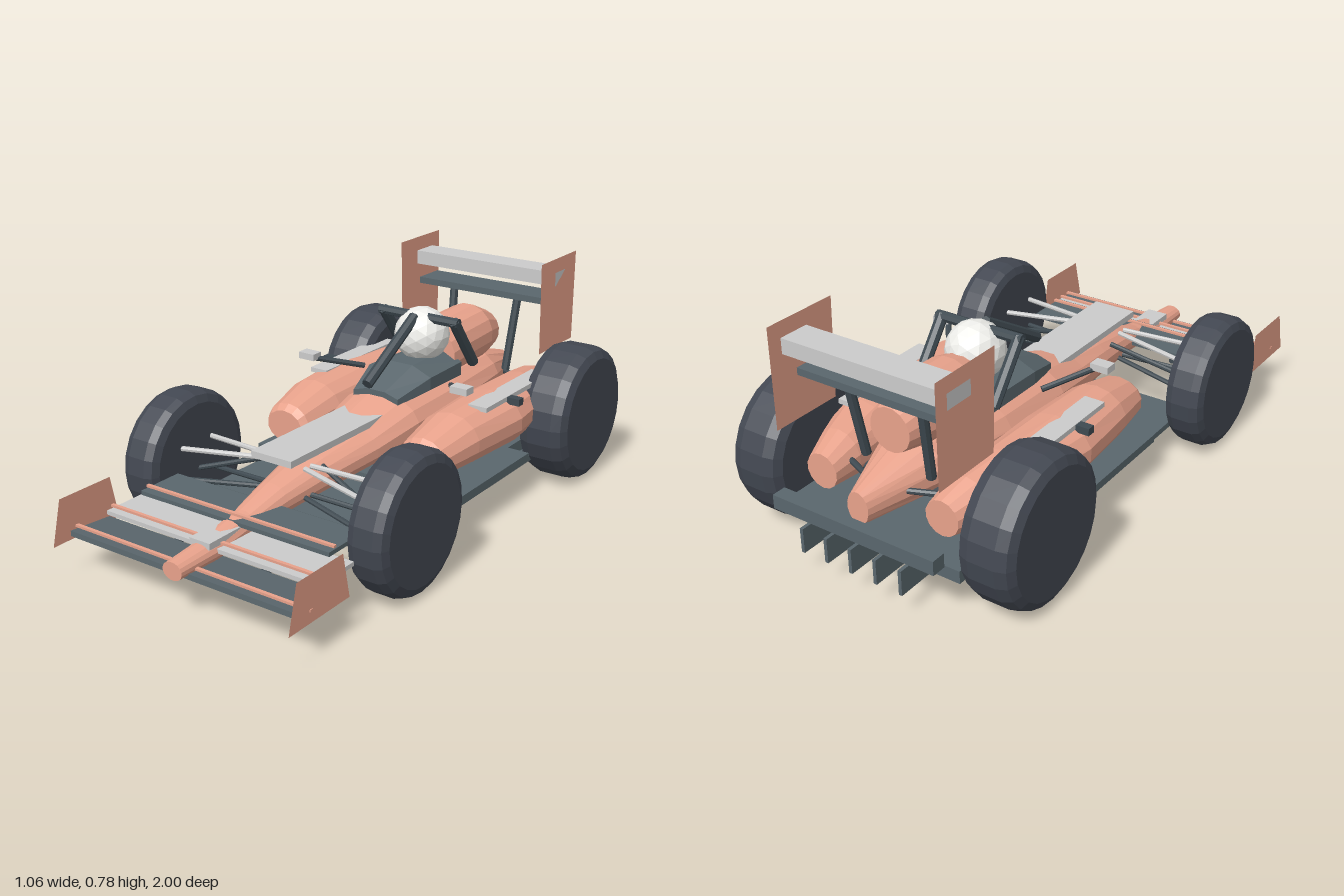
import * as THREE from 'three';

const mat = (color, side = THREE.FrontSide) =>
  new THREE.MeshStandardMaterial({ color, flatShading: true, side });

export function createModel() {
  const car = new THREE.Group();
  const paint = mat(0xe8a28b), paintSheet = mat(0xe8a28b, THREE.DoubleSide);
  const dark = mat(0x5a676d), carbon = mat(0x3f4a51), rubber = mat(0x434852);
  const grey = mat(0xcccccc), white = mat(0xeeeeea);

  const add = (name, geometry, material) => {
    const mesh = new THREE.Mesh(geometry, material);
    mesh.name = name;
    car.add(mesh);
    return mesh;
  };

  // Box given by its limits on each axis
  const box = (name, [x0, x1], [y0, y1], [z0, z1], material) => {
    const m = add(name, new THREE.BoxGeometry(Math.abs(x1 - x0), y1 - y0, z1 - z0), material);
    m.position.set((x0 + x1) / 2, (y0 + y1) / 2, (z0 + z1) / 2);
    return m;
  };

  // Round bar between two points
  const rod = (name, a, b, r, material, sides = 8) => {
    const p = new THREE.Vector3(...a), q = new THREE.Vector3(...b);
    const m = add(name, new THREE.CylinderGeometry(r, r, p.distanceTo(q), sides), material);
    m.position.copy(p).add(q).multiplyScalar(0.5);
    m.quaternion.setFromUnitVectors(new THREE.Vector3(0, 1, 0), q.sub(p).normalize());
    return m;
  };

  // Capped skin over elliptical sections [z, cx, cy, rx, ry], front to back
  const loft = (name, sections, sides, material) => {
    const pos = [], idx = [], n = sections.length;
    for (const [z, cx, cy, rx, ry] of sections)
      for (let j = 0; j < sides; j++) {
        const a = ((j + 0.5) / sides) * Math.PI * 2;
        pos.push(cx + rx * Math.cos(a), cy + ry * Math.sin(a), z);
      }
    for (const s of [0, n - 1]) pos.push(sections[s][1], sections[s][2], sections[s][0]);
    for (let j = 0; j < sides; j++) {
      const k = (j + 1) % sides, e = (n - 1) * sides;
      for (let i = 0; i < n - 1; i++) {
        const a = i * sides + j, b = i * sides + k;
        idx.push(a, a + sides, b, b, a + sides, b + sides);
      }
      idx.push(n * sides, j, k, n * sides + 1, e + k, e + j);
    }
    const g = new THREE.BufferGeometry();
    g.setAttribute('position', new THREE.Float32BufferAttribute(pos, 3));
    g.setIndex(idx);
    g.computeVertexNormals();
    return add(name, g, material);
  };

  // Thin upright plate from (z, y) corners
  const plate = (name, x, corners, material) => {
    const shape = new THREE.Shape(corners.map(([z, y]) => new THREE.Vector2(z, y)));
    const m = add(name, new THREE.ShapeGeometry(shape).rotateY(-Math.PI / 2), material);
    m.position.x = x;
    return m;
  };

  // Tyre with chamfered shoulders
  const wheel = (name, x, z, r, w) => {
    const half = [[0, 0.5], [0.84, 0.5], [0.95, 0.42], [1, 0.24]];
    const pts = [...half.map(([a, b]) => [a, -b]), ...half.reverse()]
      .map(([a, b]) => new THREE.Vector2(a * r, b * w));
    const m = add(name, new THREE.LatheGeometry(pts, 24).rotateZ(-Math.PI / 2), rubber);
    m.position.set(x, r + 0.003, z);
  };

  // Main body from nose tip to tail
  loft('mainBody', [
    [0.96, 0, 0.163, 0.038, 0.03], [0.8, 0, 0.17, 0.047, 0.037], [0.64, 0, 0.195, 0.05, 0.042],
    [0.5, 0, 0.222, 0.068, 0.055], [0.3, 0, 0.25, 0.1, 0.07], [0.1, 0, 0.275, 0.135, 0.08],
    [-0.1, 0, 0.305, 0.165, 0.105], [-0.4, 0, 0.31, 0.165, 0.11], [-0.7, 0, 0.31, 0.13, 0.1],
    [-0.95, 0, 0.28, 0.04, 0.055],
  ], 16, paint);
  loft('engineCover', [
    [-0.42, 0, 0.46, 0.105, 0.105], [-0.5, 0, 0.475, 0.115, 0.108],
    [-0.68, 0, 0.48, 0.11, 0.108], [-0.79, 0, 0.465, 0.075, 0.075],
  ], 16, paint);
  box('nosePanel', [-0.08, 0.08], [0.345, 0.368], [0, 0.5], grey);
  box('noseBlock', [-0.04, 0.04], [0.192, 0.214], [0.7, 0.84], grey);

  // Cockpit, driver and protective frame
  loft('cockpitSurround', [
    [-0.07, 0, 0.392, 0.1, 0.03], [-0.22, 0, 0.425, 0.14, 0.058], [-0.44, 0, 0.42, 0.13, 0.065],
  ], 8, dark);
  add('helmet', new THREE.IcosahedronGeometry(0.1, 2), white).position.set(0, 0.55, -0.362);
  rod('frameCentreStrut', [0, 0.455, -0.02], [0, 0.625, -0.31], 0.02, carbon);
  rod('frameCrossBar', [-0.165, 0.62, -0.34], [0.165, 0.62, -0.34], 0.018, carbon);

  // Floor and diffuser
  box('floor', [-0.385, 0.385], [0.104, 0.125], [-0.86, 0.36], dark);
  box('sideFloor', [-0.42, 0.42], [0.14, 0.168], [-0.42, 0.065], dark);
  box('rearFloor', [-0.335, 0.335], [0.125, 0.168], [-0.91, -0.42], dark);
  for (let i = -2; i <= 2; i++)
    box('diffuserFin', [i * 0.094 - 0.006, i * 0.094 + 0.006], [0.08, 0.165], [-1, -0.82], dark);
  box('rearBeam', [-0.305, 0.305], [0.19, 0.238], [-0.99, -0.94], dark);

  // Front wing elements, each with a painted strip
  const mainPlane = box('frontWingMainPlane', [-0.46, 0.46], [0.127, 0.145], [0.765, 0.93], dark);
  mainPlane.rotation.x = -0.08;
  box('frontWingMiddleFlap', [-0.42, 0.42], [0.172, 0.186], [0.64, 0.81], grey);
  box('frontWingUpperFlap', [-0.375, 0.375], [0.212, 0.226], [0.53, 0.7], dark);
  for (const [w, y, z] of [[0.465, 0.159, 0.9], [0.42, 0.196, 0.785], [0.375, 0.234, 0.67]])
    box('frontWingStrip', [-w, w], [y - 0.004, y + 0.004], [z - 0.006, z + 0.006], paint);

  // Rear wing elements
  box('rearWingUpperElement', [-0.302, 0.302], [0.675, 0.727], [-0.897, -0.79], grey);
  box('rearWingLowerElement', [-0.265, 0.265], [0.61, 0.634], [-0.88, -0.755], dark);

  // Mirrored parts
  for (const s of [-1, 1]) {
    wheel('frontWheel', s * 0.452, 0.412, 0.234, 0.142);
    wheel('rearWheel', s * 0.435, -0.7, 0.248, 0.19);

    loft('sidePod', [
      [0.085, s * 0.28, 0.272, 0.075, 0.058], [0.06, s * 0.28, 0.275, 0.09, 0.075],
      [-0.1, s * 0.287, 0.295, 0.117, 0.095], [-0.35, s * 0.293, 0.3, 0.135, 0.1],
      [-0.6, s * 0.275, 0.295, 0.115, 0.098], [-0.75, s * 0.245, 0.285, 0.085, 0.085],
      [-0.85, s * 0.23, 0.275, 0.06, 0.06],
    ], 14, paint);
    box('sidePodPanel', [s * 0.3, s * 0.373], [0.38, 0.397], [-0.64, -0.19], grey);
    box('sidePodFitting', [s * 0.37, s * 0.42], [0.37, 0.395], [-0.36, -0.33], carbon);

    box('mirror', [s * 0.285, s * 0.35], [0.463, 0.487], [-0.137, -0.092], grey);
    rod('mirrorArm', [s * 0.3, 0.468, -0.115], [s * 0.185, 0.42, -0.265], 0.01, carbon);
    rod('frameSideLeg', [s * 0.148, 0.44, -0.475], [s * 0.148, 0.625, -0.335], 0.02, carbon);

    plate('frontWingEndplate', s * 0.462,
      [[1, 0.12], [0.72, 0.12], [0.75, 0.27], [0.962, 0.27]], paintSheet);
    plate('rearWingEndplate', s * 0.302,
      [[-0.69, 0.44], [-0.947, 0.44], [-0.947, 0.78], [-0.677, 0.78]], paintSheet);
    rod('frontWingSupport', [s * 0.175, 0.122, 0.86], [s * 0.175, 0.13, 0.64], 0.012, carbon);
    rod('rearWingSupport', [s * 0.125, 0.33, -0.76], [s * 0.14, 0.62, -0.81], 0.016, carbon);

    // Front wishbones, push rod and rear shafts
    for (const [y0, y1, m] of [[0.3, 0.32, grey], [0.19, 0.22, carbon]]) {
      rod('frontWishbone', [s * 0.4, y0, 0.35], [s * 0.08, y1, 0.4], 0.009, m);
      rod('frontWishbone', [s * 0.4, y0, 0.5], [s * 0.08, y1, 0.43], 0.009, m);
    }
    rod('frontPushRod', [s * 0.4, 0.2, 0.42], [s * 0.08, 0.3, 0.34], 0.009, carbon);
    rod('driveShaft', [s * 0.05, 0.25, -0.72], [s * 0.36, 0.25, -0.7], 0.018, carbon);
    for (const z of [-0.82, -0.6])
      rod('rearWishbone', [s * 0.36, 0.3, -0.7], [s * 0.08, 0.3, z], 0.01, carbon);
  }
  return car;
}
